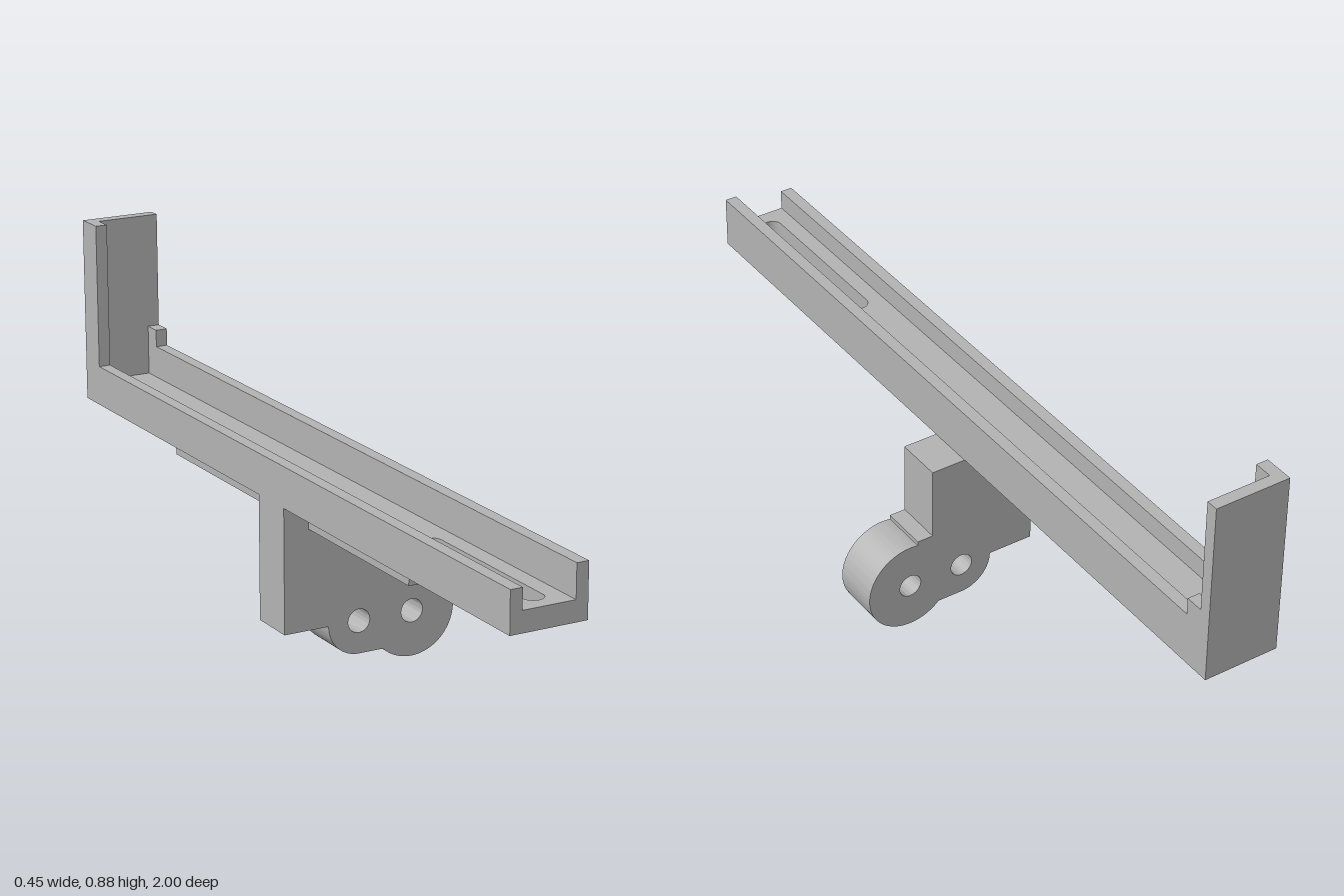
import * as THREE from 'three';
import { toCreasedNormals } from 'three/addons/utils/BufferGeometryUtils.js';

export function createModel() {
  const model = new THREE.Group();
  const grey = new THREE.MeshStandardMaterial({ color: 0xb3b3b3 });
  grey.name = 'plainGrey';

  const add = (name, geometry) => {
    const mesh = new THREE.Mesh(geometry, grey);
    mesh.name = name;
    model.add(mesh);
  };
  // Box given by its extents along each axis
  const block = (name, x0, x1, y0, y1, z0, z1) =>
    add(name, new THREE.BoxGeometry(x1 - x0, y1 - y0, z1 - z0)
      .translate((x0 + x1) / 2, (y0 + y1) / 2, (z0 + z1) / 2));
  const extrude = (shape, depth) => toCreasedNormals(
    new THREE.ExtrudeGeometry(shape, { depth, bevelEnabled: false, curveSegments: 32 }), 0.6);

  const left = -0.227, innerLeft = -0.197, innerRight = -0.067, right = -0.037;
  const base = 0.42, floorTop = 0.47, back = -0.97, flangeFront = -0.925;

  // Channel floor with a rounded slot near the front (shape y is -z)
  const floor = new THREE.Shape();
  floor.moveTo(innerLeft, -1);
  floor.lineTo(innerRight, -1);
  floor.lineTo(innerRight, -back);
  floor.lineTo(innerLeft, -back);
  floor.closePath();
  const slot = new THREE.Path(), sx = -0.133, sr = 0.025;
  slot.absarc(sx, -0.535, sr, 0, Math.PI, false);
  slot.absarc(sx, -0.938, sr, Math.PI, Math.PI * 2, false);
  slot.closePath();
  floor.holes.push(slot);
  add('channelFloor', extrude(floor, floorTop - base).rotateX(-Math.PI / 2).translate(0, base, 0));

  // Side walls of the channel, the right one slightly taller
  block('rightWall', left, innerLeft, base, 0.52, back, 1);
  block('leftWall', innerRight, right, base, 0.55, back, 1);

  // Upright end plate with one full flange and one short tab
  block('endPlate', left, right, base, 0.88, -1, back);
  block('tallFlange', left, innerLeft, 0.52, 0.88, back, flangeFront);
  block('shortTab', innerRight, right, 0.55, 0.593, back, flangeFront);

  // Rib beneath the rail, on both sides of the bracket
  for (const [name, z0, z1] of [['frontRib', 0.04, 0.49], ['backRib', -0.63, -0.08]])
    block(name, -0.163, -0.102, 0.36, base, z0, z1);

  // Mounting bracket with two rounded lobes and pivot holes
  const cy = 0.113, bigX = 0.113, smallX = -0.03, bigR = 0.113, smallR = 0.081;
  const bracket = new THREE.Shape();
  bracket.moveTo(left, cy);
  bracket.lineTo(left, base);
  bracket.lineTo(0.051, base);
  bracket.lineTo(0.051, 0.235);
  bracket.lineTo(0.092, 0.235);
  bracket.absarc(bigX, cy, bigR, Math.atan2(0.111, -0.021), Math.atan2(-0.081, -0.0788), true);
  bracket.absarc(smallX, cy, smallR, -Math.PI / 2, -Math.PI, true);
  bracket.closePath();
  for (const x of [smallX, bigX])
    bracket.holes.push(new THREE.Path().absarc(x, cy, 0.029, 0, Math.PI * 2, false));
  add('mountingBracket', extrude(bracket, 0.12).translate(0, 0, -0.08));

  return model;
}
